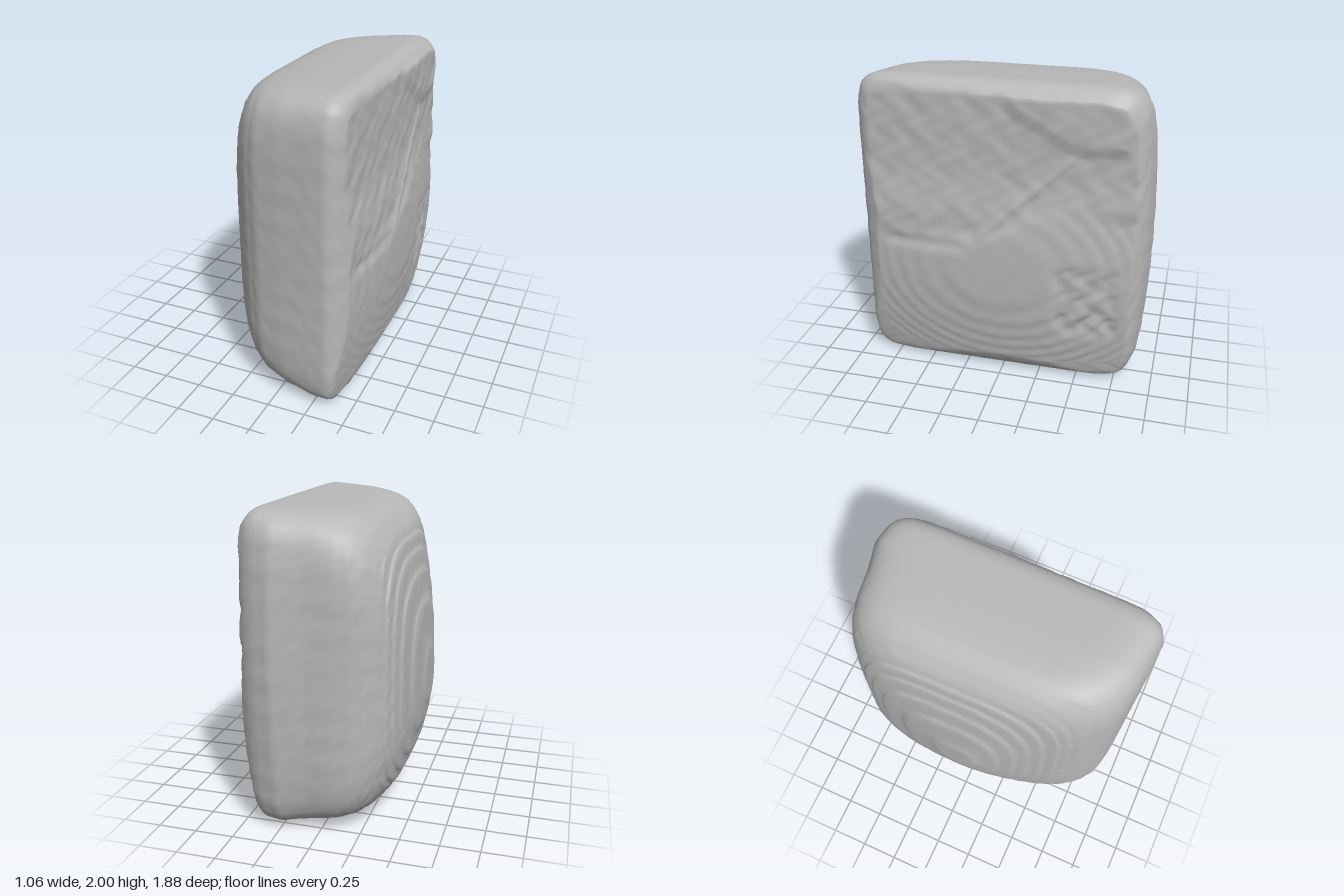
import * as THREE from 'three';
import { mergeVertices } from 'three/addons/utils/BufferGeometryUtils.js';

// Cross-sections along x: [x, bottom, top, back, front, corner squareness]
const SECTIONS = [
  [-0.535, 0.74, 0.92, -0.10, 0.06, 2],
  [-0.525, 0.64, 1.10, -0.22, 0.14, 2.3],
  [-0.505, 0.54, 1.30, -0.37, 0.22, 2.6],
  [-0.46, 0.37, 1.54, -0.58, 0.36, 3],
  [-0.41, 0.24, 1.73, -0.70, 0.48, 3.5],
  [-0.35, 0.16, 1.84, -0.77, 0.63, 4.2],
  [-0.28, 0.10, 1.91, -0.83, 0.74, 5],
  [-0.20, 0.06, 1.95, -0.86, 0.82, 6],
  [-0.10, 0.035, 1.97, -0.88, 0.88, 7],
  [0.05, 0.02, 1.985, -0.895, 0.91, 9],
  [0.25, 0.0, 1.995, -0.94, 0.93, 11],
  [0.36, 0.01, 2.0, -0.915, 0.935, 12],
  [0.41, 0.04, 1.99, -0.89, 0.91, 12],
  [0.44, 0.085, 1.97, -0.865, 0.87, 12],
  [0.47, 0.14, 1.93, -0.84, 0.82, 12],
  [0.56, 0.26, 1.88, -0.78, 0.72, 10],
];

const smooth = THREE.MathUtils.smoothstep;
const band = (v, a, b, soft) => smooth(v, a - soft, a + soft) * (1 - smooth(v, b - soft, b + soft));

// Repeatable roughness between -1 and 1
const rough = (a, b) =>
  (Math.sin(a * 23 + Math.sin(b * 17) * 2) + Math.sin(b * 31 + Math.sin(a * 29) * 2)) / 2;

function sectionAt(x) {
  let i = 0;
  while (i < SECTIONS.length - 2 && x > SECTIONS[i + 1][0]) i++;
  const a = SECTIONS[i], b = SECTIONS[i + 1];
  const t = THREE.MathUtils.clamp((x - a[0]) / (b[0] - a[0]), 0, 1);
  return a.map((v, k) => v + (b[k] - v) * t);
}

// Relief of the flatter +x face
function faceX(y, z) {
  // lower half: stepped low dome
  const d2 = ((y - 0.8) / 0.66) ** 2 + (z / 0.85) ** 2;
  const height = 0.53 - 0.065 * d2;
  const lower = height + 0.002 * Math.sin(height * 2 * Math.PI / 0.014);
  // upper half: rough and flat, slightly sunken beyond a rising ridge
  const ridge = z > 0.15 ? 0.97 : Math.min(0.97 + (0.15 - z) * 0.55, 1.2);
  const upper = 0.472 + 0.025 * (1 - smooth(y, 1.1, 1.45)) - 0.03 * z * z + 0.004 * rough(y, z);
  let x = THREE.MathUtils.lerp(lower, upper, smooth(y, ridge - 0.05, ridge + 0.08));
  // raised wedge near the top rear corner
  const wedgeEdge = 1.62 + Math.max(0, z + 0.45) * 0.6;
  x += 0.018 * smooth(y, wedgeEdge - 0.03, wedgeEdge + 0.03) * band(z, -0.8, -0.06, 0.05);
  // diagonal crease, front notch and pitted patch
  x += 0.01 * Math.exp(-(((y - 1.08 - (0.05 - z) * 0.95) / 0.03) ** 2)) * band(z, -0.45, 0.15, 0.05);
  x -= 0.014 * band(y, 0.9, 0.96, 0.03) * band(z, 0.22, 0.75, 0.06);
  x -= (0.012 + 0.009 * rough(y * 1.3, z * 1.3)) * band(y, 0.38, 0.85, 0.05) * band(z, -0.75, -0.36, 0.035);
  return x;
}

function inside(x, y, z) {
  if (x < SECTIONS[0][0] || x > faceX(y, z)) return false;
  // gentle terraces on the domed -x side
  const fade = 1 - smooth(x, -0.25, 0);
  const [, y0, y1, z0, z1, n] = sectionAt(x + fade * 0.0045 * Math.sin(x * 2 * Math.PI / 0.034));
  // the back bows out at mid height
  const back = z0 + 0.06 * smooth(x, -0.2, 0.2) * (y - 1.1) ** 2;
  const v = Math.abs((y - (y0 + y1) / 2) / ((y1 - y0) / 2));
  const w = Math.abs((z - (back + z1) / 2) / ((z1 - back) / 2));
  return v ** n + w ** n <= 1;
}

// Push every vertex of a box out to the surface of the rounded block
function blockGeometry() {
  const box = new THREE.BoxGeometry(0.96, 1.9, 1.8, 36, 84, 84);
  box.deleteAttribute('normal');
  box.deleteAttribute('uv');
  const geometry = mergeVertices(box, 1e-4);
  const pos = geometry.attributes.position;
  for (let i = 0; i < pos.count; i++) {
    const x = pos.getX(i), y = pos.getY(i), z = pos.getZ(i);
    let lo = 0.2, hi = 1.4;
    for (let k = 0; k < 22; k++) {
      const mid = (lo + hi) / 2;
      if (inside(x * mid, 1 + y * mid, z * mid)) lo = mid;
      else hi = mid;
    }
    const ripple = 1 + 0.002 * rough(y * 1.3 + x, z * 1.3 - x);
    pos.setXYZ(i, x * lo * ripple, Math.max(0, 1 + y * lo), z * lo * ripple);
  }
  geometry.computeVertexNormals();
  return geometry;
}

export function createModel() {
  const group = new THREE.Group();
  group.name = 'wornBlock';
  const stone = new THREE.MeshStandardMaterial({ color: 0xb8b8b8 });
  stone.name = 'pale grey stone';
  const body = new THREE.Mesh(blockGeometry(), stone);
  body.name = 'stoneBody';
  group.add(body);
  return group;
}
